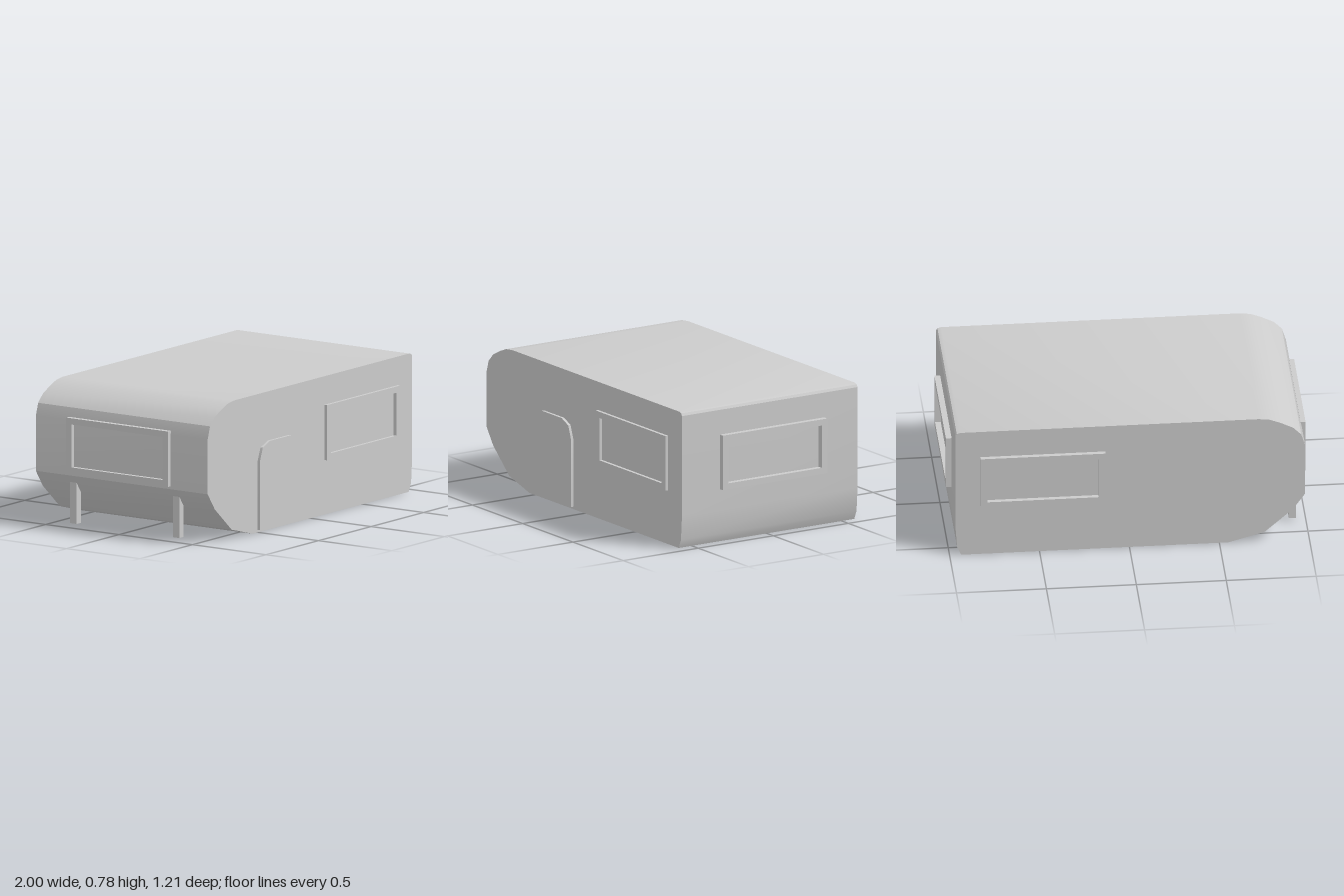
import * as THREE from 'three';
import { toCreasedNormals } from 'three/addons/utils/BufferGeometryUtils.js';

const material = new THREE.MeshStandardMaterial({ color: 0xcccccc });

function outline(points) {
  return new THREE.Shape(points.map(([x, y]) => new THREE.Vector2(x, y)));
}

function rectangle(w, h) {
  return [[-w / 2, -h / 2], [w / 2, -h / 2], [w / 2, h / 2], [-w / 2, h / 2]];
}

// Extrudes a shape from z0 to z1, smoothing only the gentle bends
function slab(name, shape, z0, z1) {
  const geometry = new THREE.ExtrudeGeometry(shape, { depth: z1 - z0, bevelEnabled: false });
  geometry.translate(0, 0, z0);
  const mesh = new THREE.Mesh(toCreasedNormals(geometry, 0.45), material);
  mesh.name = name;
  return mesh;
}

// Raised rectangular frame around a pane; its back sits in the wall
function windowFrame(name, x, y, z, turn, depth) {
  const shape = outline(rectangle(0.695, 0.312));
  shape.holes.push(new THREE.Path(outline(rectangle(0.62, 0.242)).getPoints().reverse()));
  const frame = slab(name, shape, -0.005, depth);
  frame.position.set(x, y, z);
  frame.rotation.y = turn;
  return frame;
}

export function createModel() {
  const model = new THREE.Group();
  model.name = 'camperTrailer';
  const back = -0.583, front = 0.587;

  // Body: side profile with a rounded nose and a sloping underside
  model.add(slab('body', outline([
    [-0.55, 0], [0.935, 0], [0.958, 0.05], [0.968, 0.19], [0.968, 0.76], [0.96, 0.774], [0.94, 0.78],
    [-0.72, 0.78], [-0.78, 0.773], [-0.84, 0.75], [-0.91, 0.715], [-0.955, 0.67], [-0.977, 0.6],
    [-0.977, 0.29], [-0.91, 0.195], [-0.75, 0.055],
  ]), back, front));

  // Door with an arched top
  model.add(slab('door', outline([
    [-0.503, 0.014], [-0.112, 0.014], [-0.112, 0.4], [-0.14, 0.475], [-0.205, 0.503],
    [-0.405, 0.503], [-0.475, 0.475], [-0.503, 0.4],
  ]), front - 0.005, 0.603));

  // One window on each wall
  const y = 0.463;
  model.add(
    windowFrame('frontWindow', 0.482, y, front, 0, 0.018),
    windowFrame('backWindow', 0.482, y, back, Math.PI, 0.025),
    windowFrame('leftWindow', 0.968, y, -0.013, Math.PI / 2, 0.032),
    windowFrame('rightWindow', -0.977, y, -0.013, -Math.PI / 2, 0.023),
  );

  // Support legs under the nose
  for (const z of [-0.35, 0.35]) {
    const leg = new THREE.Mesh(new THREE.BoxGeometry(0.04, 0.24, 0.045), material);
    leg.name = z > 0 ? 'frontLeg' : 'backLeg';
    leg.position.set(-0.926, 0.134, z);
    model.add(leg);
  }
  return model;
}
